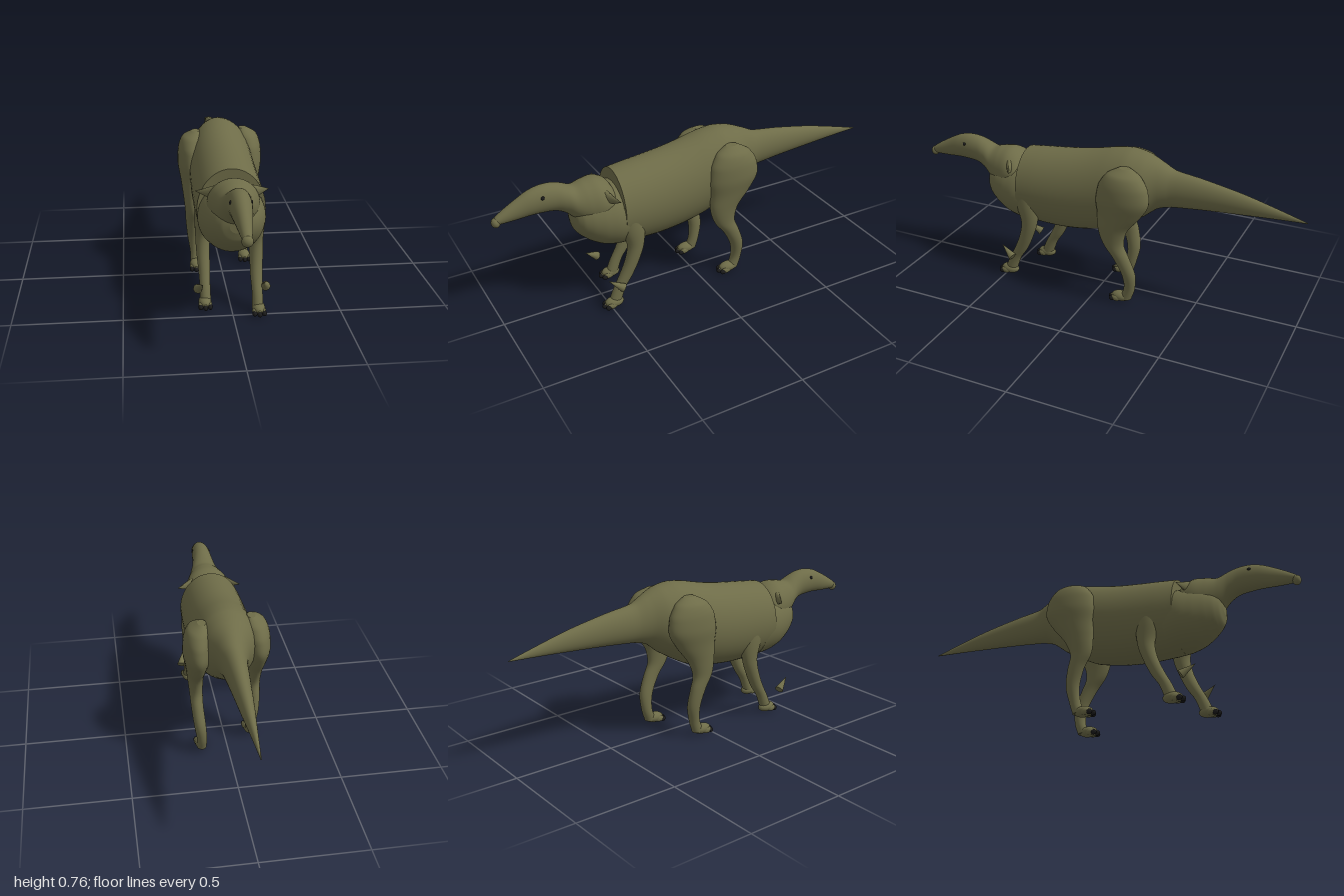
import * as THREE from 'three';

const hide = new THREE.MeshStandardMaterial({ color: 0x6e6c48 });
hide.name = 'olive hide';
const dark = new THREE.MeshStandardMaterial({ color: 0x1b1b1b });
dark.name = 'dark claw';

// Smooth skin through elliptical rings [x, y, z, rx, r2], listed along increasing z or y
function loft(rings, axis, segs = 32, sub = 5) {
  const centre = new THREE.CatmullRomCurve3(rings.map(r => new THREE.Vector3(r[0], r[1], r[2])));
  const radius = new THREE.CatmullRomCurve3(rings.map(r => new THREE.Vector3(r[3], r[4], 0)));
  const rows = (rings.length - 1) * sub;
  const pos = [], idx = [];
  const ring = k => {
    const c = centre.getPoint(k / rows), r = radius.getPoint(k / rows);
    const a = Math.max(r.x, 0.001), b = Math.max(r.y, 0.001);
    for (let j = 0; j < segs; j++) {
      const t = (j / segs) * Math.PI * 2;
      if (axis === 'z') pos.push(c.x + a * Math.cos(t), c.y + b * Math.sin(t), c.z);
      else pos.push(c.x + a * Math.sin(t), c.y, c.z + b * Math.cos(t));
    }
    return c;
  };
  for (let i = 0; i <= rows; i++) ring(i);
  for (let i = 0; i < rows; i++) {
    for (let j = 0; j < segs; j++) {
      const a = i * segs + j, b = i * segs + (j + 1) % segs;
      idx.push(a, b, a + segs, b, b + segs, a + segs);
    }
  }
  // flat end caps with their own vertices
  for (const k of [0, rows]) {
    const base = pos.length / 3;
    const c = ring(k);
    pos.push(c.x, c.y, c.z);
    for (let j = 0; j < segs; j++) {
      const a = base + j, b = base + (j + 1) % segs;
      if (k) idx.push(a, b, base + segs);
      else idx.push(b, a, base + segs);
    }
  }
  const g = new THREE.BufferGeometry();
  g.setAttribute('position', new THREE.Float32BufferAttribute(pos, 3));
  g.setIndex(idx);
  g.computeVertexNormals();
  return g;
}

// Turns [z, top, bottom, halfWidth] into a ring
const section = ([z, top, bottom, w]) => [0, (top + bottom) / 2, z, w, (top - bottom) / 2];

function add(parent, name, geometry, material = hide) {
  const mesh = new THREE.Mesh(geometry, material);
  mesh.name = name;
  parent.add(mesh);
  return mesh;
}

function ball(parent, name, p, r, material = hide) {
  const mesh = add(parent, name, new THREE.SphereGeometry(1, 20, 14), material);
  mesh.position.set(...p);
  mesh.scale.set(...r);
  return mesh;
}

// Foot with three toes and dark claws; z is the tip of the middle claw
function addFoot(parent, x, z) {
  const foot = new THREE.Group();
  foot.name = 'foot';
  foot.position.set(x, 0, z);
  parent.add(foot);
  ball(foot, 'sole', [0, 0.028, -0.062], [0.03, 0.026, 0.048]);
  for (const s of [-1, 0, 1]) {
    const back = Math.abs(s) * 0.01;
    ball(foot, 'toe', [s * 0.02, 0.02, -0.032 - back], [0.012, 0.016, 0.026]);
    ball(foot, 'claw', [s * 0.022, 0.016, -0.013 - back], [0.011, 0.013, 0.015], dark);
  }
}

export function createModel() {
  const model = new THREE.Group();
  model.name = 'dinosaur';

  // Trunk and tail in one tapering skin
  add(model, 'trunkAndTail', loft([
    [-1, 0.556, 0.552, 0.002], [-0.85, 0.597, 0.544, 0.016], [-0.7, 0.635, 0.534, 0.031],
    [-0.5, 0.672, 0.519, 0.048], [-0.36, 0.692, 0.505, 0.062], [-0.29, 0.725, 0.485, 0.085],
    [-0.22, 0.753, 0.43, 0.125], [-0.14, 0.765, 0.38, 0.148], [-0.04, 0.75, 0.33, 0.157],
    [0.08, 0.722, 0.303, 0.16], [0.2, 0.704, 0.29, 0.161], [0.32, 0.69, 0.291, 0.16],
    [0.415, 0.678, 0.297, 0.156],
  ].map(section), 'z', 48));

  // Chest, lower than the shell behind it
  add(model, 'chest', loft([
    [0.36, 0.62, 0.293, 0.15], [0.43, 0.615, 0.3, 0.154], [0.5, 0.605, 0.318, 0.139],
    [0.555, 0.59, 0.35, 0.117], [0.595, 0.57, 0.385, 0.093], [0.618, 0.545, 0.415, 0.065],
    [0.628, 0.51, 0.455, 0.03],
  ].map(section), 'z', 48));

  // Neck and head
  add(model, 'neckAndHead', loft([
    [0.42, 0.595, 0.43, 0.1], [0.45, 0.64, 0.43, 0.115], [0.5, 0.662, 0.43, 0.117],
    [0.56, 0.658, 0.44, 0.1], [0.61, 0.648, 0.48, 0.08], [0.655, 0.668, 0.522, 0.062],
    [0.7, 0.684, 0.545, 0.053], [0.76, 0.688, 0.553, 0.049], [0.82, 0.675, 0.554, 0.043],
    [0.88, 0.646, 0.55, 0.034], [0.94, 0.612, 0.548, 0.026], [0.98, 0.585, 0.548, 0.018],
    [0.988, 0.572, 0.552, 0.008],
  ].map(section), 'z'));
  ball(model, 'snoutTip', [0, 0.559, 0.979], [0.024, 0.024, 0.021]);

  for (const s of [1, -1]) {
    const side = s > 0 ? 'left' : 'right';
    ball(model, side + 'Eye', [s * 0.043, 0.645, 0.768], [0.006, 0.009, 0.009], dark);

    // Small pointed shoulder fold
    const fold = add(model, side + 'ShoulderFold', new THREE.ConeGeometry(0.035, 0.09, 12));
    fold.position.set(s * 0.125, 0.59, 0.462);
    fold.rotation.set(0, s * 0.45, -s * Math.PI / 2);
    fold.scale.set(1, 1, 0.5);

    // Front leg, in mid stride
    const frontLeg = new THREE.Group();
    frontLeg.name = side + 'FrontLeg';
    model.add(frontLeg);
    const stride = s > 0 ? 0 : -0.09;
    add(frontLeg, 'limb', loft([
      [0.117, 0.025, 0.48, 0.026, 0.032], [0.117, 0.1, 0.45, 0.025, 0.03],
      [0.117, 0.16, 0.415, 0.028, 0.034], [0.12, 0.24, 0.38, 0.031, 0.036],
      [0.12, 0.32, 0.36, 0.034, 0.042], [0.116, 0.42, 0.37, 0.042, 0.058],
      [0.11, 0.54, 0.38, 0.04, 0.045],
    ].map(([x, y, z, a, b]) => [s * x, y, z + stride, a, b]), 'y', 24));
    addFoot(frontLeg, s * 0.12, 0.545 + stride);

    // Thumb spike
    const spike = add(model, side + 'ThumbSpike', new THREE.ConeGeometry(0.022, 0.088, 14));
    spike.position.set(s * 0.147, 0.143, 0.482);
    spike.quaternion.setFromUnitVectors(
      new THREE.Vector3(0, 1, 0), new THREE.Vector3(-s * 0.02, 0.05, 0.07).normalize());

    // Hind leg with a bulging thigh
    const hindLeg = new THREE.Group();
    hindLeg.name = side + 'HindLeg';
    model.add(hindLeg);
    const shift = y => s > 0 ? 0 : 0.04 + 0.06 * THREE.MathUtils.clamp((0.4 - y) / 0.3, 0, 1);
    add(hindLeg, 'limb', loft([
      [0.13, 0.02, -0.175, 0.024, 0.03], [0.13, 0.08, -0.195, 0.025, 0.028],
      [0.138, 0.16, -0.193, 0.029, 0.034], [0.146, 0.25, -0.155, 0.03, 0.042],
      [0.147, 0.32, -0.115, 0.033, 0.054], [0.148, 0.4, -0.11, 0.04, 0.075],
      [0.147, 0.48, -0.14, 0.052, 0.108], [0.146, 0.56, -0.158, 0.065, 0.133],
      [0.143, 0.63, -0.16, 0.064, 0.122], [0.135, 0.685, -0.16, 0.052, 0.085],
      [0.12, 0.715, -0.16, 0.02, 0.03],
    ].map(([x, y, z, a, b]) => [s * x, y, z + shift(y), a, b]), 'y', 32));
    addFoot(hindLeg, s * 0.13, -0.088 + shift(0));
  }
  return model;
}
